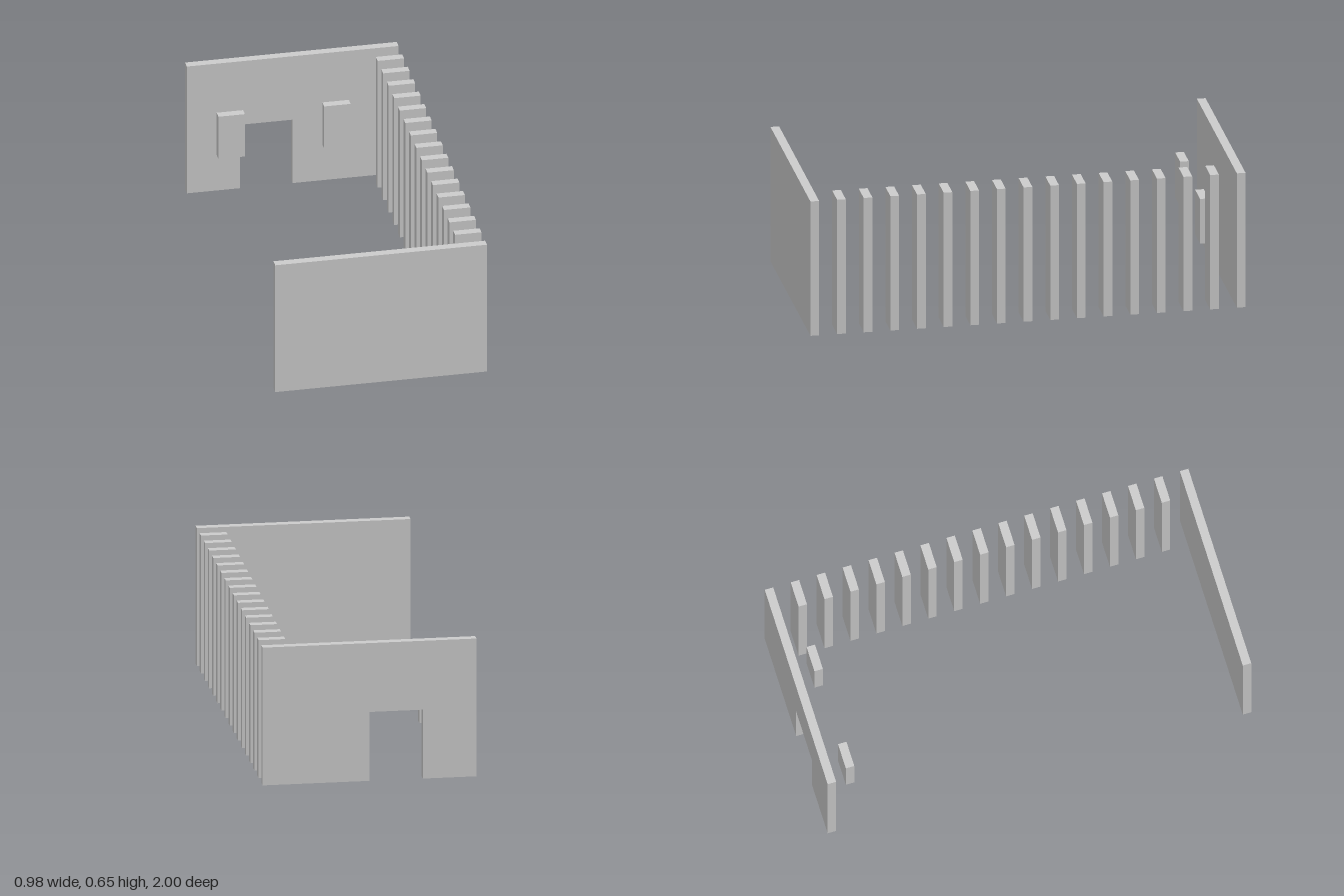
import * as THREE from 'three';

const WIDTH = 0.977;      // end wall width
const HEIGHT = 0.648;     // wall and fin height
const THICK = 0.04;       // board thickness
const PITCH = 0.1225;     // spacing of the fins
const END_Z = 1 - THICK / 2;

export function createModel() {
  const group = new THREE.Group();
  const material = new THREE.MeshStandardMaterial({ color: 0xcccccc, flatShading: true });

  function add(name, geometry, x, y, z) {
    const mesh = new THREE.Mesh(geometry, material);
    mesh.name = name;
    mesh.position.set(x, y, z);
    group.add(mesh);
  }

  // Solid front wall
  add('frontWall', new THREE.BoxGeometry(WIDTH, HEIGHT, THICK), 0, HEIGHT / 2, END_Z);

  // Back wall with a doorway cut up from the floor
  const half = WIDTH / 2, doorLeft = -0.244, doorRight = 0, doorTop = 0.324;
  const outline = new THREE.Shape([
    [-half, 0], [doorLeft, 0], [doorLeft, doorTop], [doorRight, doorTop],
    [doorRight, 0], [half, 0], [half, HEIGHT], [-half, HEIGHT],
  ].map(([x, y]) => new THREE.Vector2(x, y)));
  add('backWall', new THREE.ExtrudeGeometry(outline, { depth: THICK, bevelEnabled: false }), 0, 0, -1);

  // Row of upright fins along the left side
  const finWidth = 0.122;
  const finGeometry = new THREE.BoxGeometry(finWidth, HEIGHT, THICK);
  for (let i = -7; i <= 7; i++) {
    add('fin', finGeometry, half - finWidth / 2, HEIGHT / 2, i * PITCH);
  }

  // Two small panels floating in front of the back wall
  const panelGeometry = new THREE.BoxGeometry(0.122, 0.216, THICK);
  for (const x of [-0.307, 0.181]) add('hangingPanel', panelGeometry, x, 0.334, -7 * PITCH);

  return group;
}
